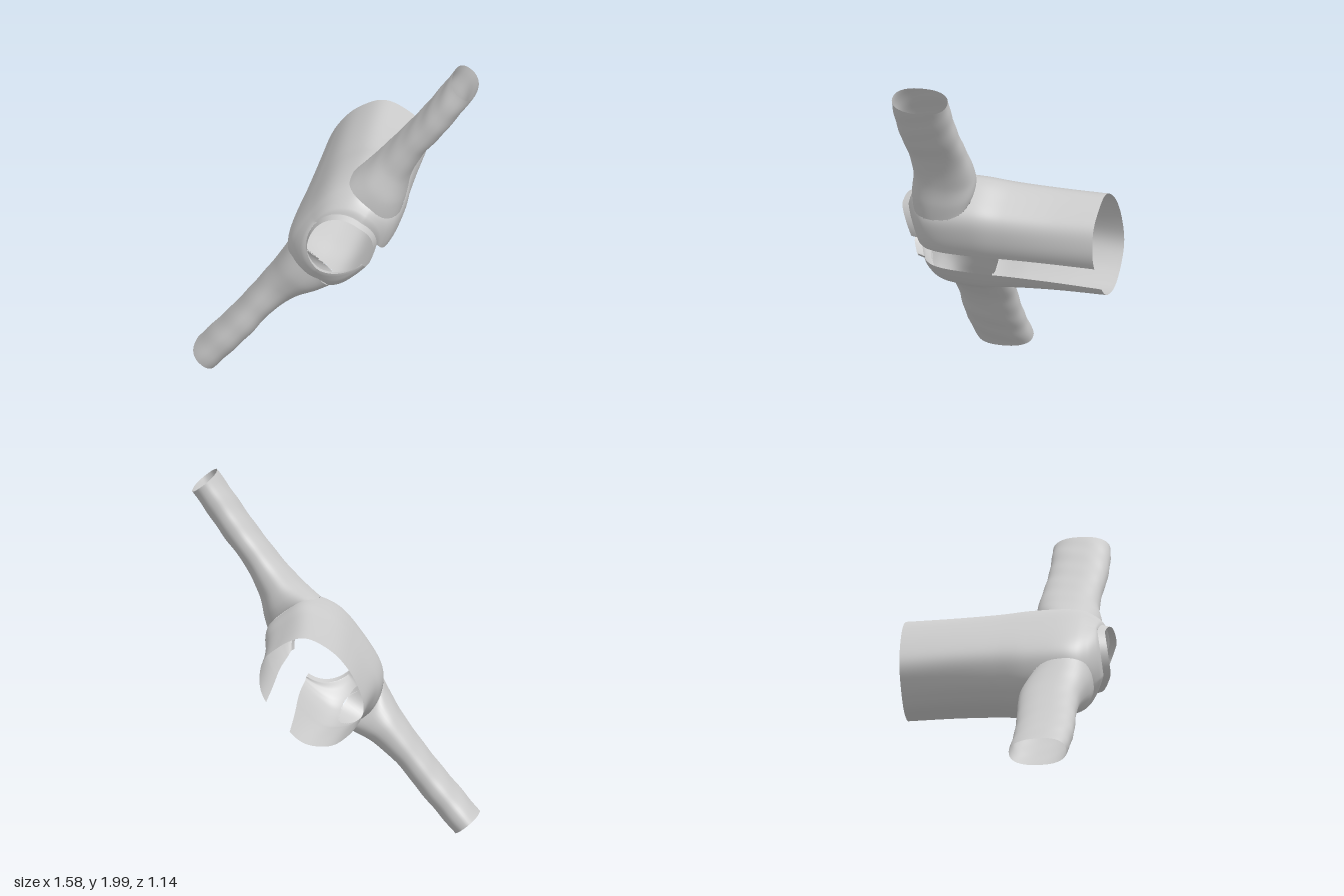
import * as THREE from 'three';

const material = new THREE.MeshStandardMaterial({ color: 0xcccccc, side: THREE.DoubleSide });

// Smoothly interpolates a table of section rows at t in 0..1
function sampler(rows) {
  const n = rows.length - 1;
  return (t) => {
    const f = Math.min(t * n, n - 1e-6), i = Math.floor(f), w = f - i;
    const at = (k) => rows[Math.max(0, Math.min(n, k))];
    return rows[0].map((_, c) => {
      const a = at(i - 1)[c], b = at(i)[c], d = at(i + 1)[c], e = at(i + 2)[c];
      return b + 0.5 * w * (d - a + w * (2 * a - 5 * b + 4 * d - e + w * (3 * (b - d) + e - a)));
    });
  };
}

// Skin over a grid of points; closed joins the last column to the first, cut leaves faces out
function loft(name, nT, nS, closed, point, cut = () => false) {
  const pos = [], idx = [], cols = closed ? nS : nS + 1;
  for (let i = 0; i <= nT; i++)
    for (let j = 0; j < cols; j++) pos.push(...point(i / nT, j / nS));
  for (let i = 0; i < nT; i++)
    for (let j = 0; j < nS; j++) {
      if (cut(...point((i + 0.5) / nT, (j + 0.5) / nS))) continue;
      const k = (j + 1) % cols;
      const a = i * cols + j, b = i * cols + k, c = a + cols, d = b + cols;
      idx.push(a, b, c, b, d, c);
    }
  const g = new THREE.BufferGeometry();
  g.setAttribute('position', new THREE.Float32BufferAttribute(pos, 3));
  g.setIndex(idx);
  g.computeVertexNormals();
  const mesh = new THREE.Mesh(g, material);
  mesh.name = name;
  return mesh;
}

const spow = (v, p) => Math.sign(v) * Math.abs(v) ** p;

// Torso sections from hem to neckline:
// z, front offset, half width, half depth, neckline blend, front squareness, back squareness
const torso = sampler([
  [-0.57, 0.056, 0.312, 0.24, 0, 0.78, 0.84],
  [-0.3, 0.056, 0.316, 0.238, 0, 0.76, 0.82],
  [-0.05, 0.058, 0.335, 0.238, 0, 0.74, 0.8],
  [0.12, 0.06, 0.362, 0.24, 0, 0.72, 0.78],
  [0.3, 0.06, 0.362, 0.238, 0, 0.72, 0.78],
  [0.4, 0.06, 0.348, 0.226, 0.1, 0.75, 0.8],
  [0.46, 0.062, 0.305, 0.206, 0.4, 0.82, 0.86],
  [0.495, 0.067, 0.24, 0.192, 0.8, 0.9, 0.9],
  [0.505, 0.072, 0.195, 0.182, 1, 0.95, 0.93],
]);

// Point on the open torso section; s runs round the back from one front edge to the other
function torsoPoint([z, off, w, d, neck, front, back], s) {
  const gapAngle = (gap) => Math.asin((gap / w) ** (1 / front));
  const left = gapAngle(0.105), right = gapAngle(0.105 - 0.045 * Math.max(0, z + 0.57));
  const a = left + s * (2 * Math.PI - left - right);
  const p = Math.cos(a) > 0 ? front : back;
  const fold = 1 + 0.01 * Math.sin(7 * a + 2 * z) * (1 - neck);
  const dip = neck * (0.03 * Math.abs(Math.sin(a)) - 0.07 * Math.max(0, Math.cos(a)));
  return [
    w * fold * spow(Math.sin(a), p) + 0.02 * neck,
    -(off + d * fold * spow(Math.cos(a), p)),
    z + dip,
  ];
}

// Half width of the torso at a given depth and height, where the sleeves are sewn on
function torsoSide(y, z) {
  let lo = 0, hi = 1;
  for (let i = 0; i < 16; i++) {
    const mid = (lo + hi) / 2;
    if (torso(mid)[0] < z) lo = mid; else hi = mid;
  }
  const [, off, w, d, , front, back] = torso(lo);
  const v = -y - off, p = v > 0 ? front : back;
  return w * Math.max(0.2, 1 - Math.abs(v / d) ** (2 / p)) ** (p / 2);
}

// Sleeve sections from the shoulder seam to the cuff:
// distance out, front offset, half thickness, z centre, half height
const rootRow = [0.3, 0.056, 0.166, 0.315, 0.176];
const sleeveRows = sampler([
  rootRow,
  [0.39, 0.046, 0.14, 0.3, 0.184],
  [0.52, 0.024, 0.104, 0.28, 0.172],
  [0.7, 0.01, 0.083, 0.285, 0.164],
  [0.87, 0.01, 0.083, 0.295, 0.164],
  [1.04, 0.002, 0.083, 0.297, 0.163],
  [1.19, -0.006, 0.082, 0.29, 0.16],
]);

// Depth and height round a sleeve section
const sleeveRing = ([, off, thick, zc, high], a, fold = 1) => [
  -off + thick * fold * spow(Math.cos(a), 0.85),
  zc + high * spow(Math.sin(a), 0.8) * (1 + (fold - 1) * 0.5),
];

function sleeve(side) {
  return loft(side > 0 ? 'leftSleeve' : 'rightSleeve', 48, 48, true, (t, s) => {
    const row = sleeveRows(t);
    const a = side * s * Math.PI * 2;
    const fold = 1 + 0.02 * t * Math.sin(38 * row[0] + 3 * Math.sin(a) + side);
    const [y, z] = sleeveRing(row, a, fold);
    const seam = torsoSide(...sleeveRing(rootRow, a)) - rootRow[0];
    const x = row[0] + seam * Math.max(0, 1 - t / 0.3);
    return [side * x, y, z + t * (side < 0 ? -0.02 : 0.01)];
  });
}

// True inside the armholes
function armhole(x, y, z) {
  const [, off, thick, zc, high] = rootRow;
  const r = Math.abs((y + off) / thick) ** 2.35 + Math.abs((z - zc) / high) ** 2.5;
  return Math.abs(x) > 0.2 && r < 0.96;
}

export function createModel() {
  const jacket = new THREE.Group();
  jacket.name = 'openJacket';

  jacket.add(loft('torso', 128, 220, false, (t, s) => torsoPoint(torso(t), s), armhole));
  jacket.add(sleeve(1), sleeve(-1));

  // Standing collar: a narrow band that leans slightly inward from the neckline
  const neckRow = torso(1);
  jacket.add(loft('collar', 4, 56, false, (t, s) => {
    const [x, y, z] = torsoPoint(neckRow, s);
    const lean = 1 - 0.06 * t;
    return [x * lean, -0.07 + (y + 0.07) * lean, z + 0.04 * t];
  }));

  // The garment lies tilted, with its sleeves along a diagonal
  jacket.rotation.z = 0.915;
  jacket.position.y = 1;

  const model = new THREE.Group();
  model.name = 'garment';
  model.add(jacket);
  return model;
}
